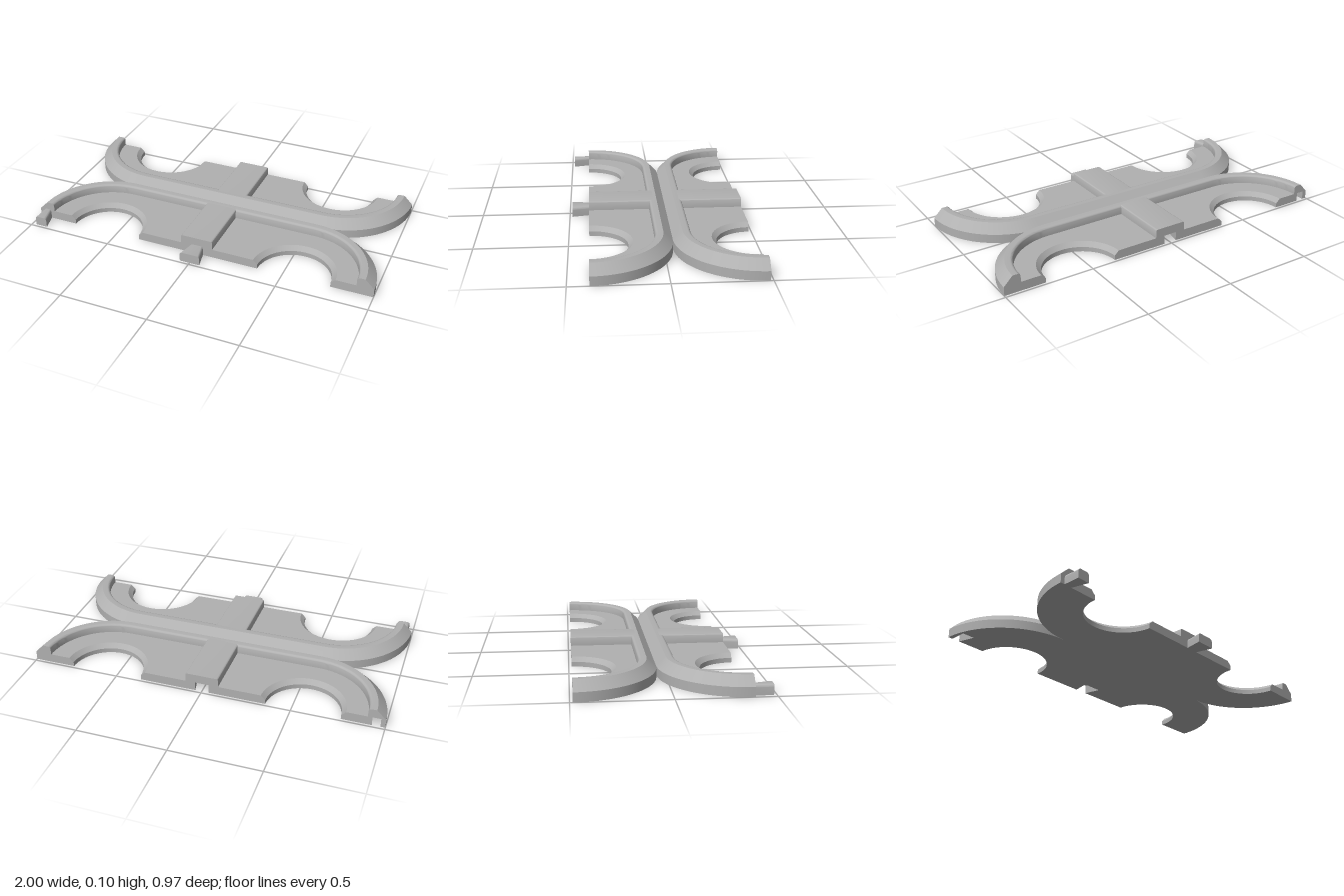
import * as THREE from 'three';
import { toCreasedNormals } from 'three/addons/utils/BufferGeometryUtils.js';

const R = 0.4375;      // depth of one half, also its corner radius
const CX = 1 - R;      // x of the corner and cutout centres
const FLOOR = 0.05, TOP = 0.1, DOVETAIL = 0.095;

const V2 = (x, y) => new THREE.Vector2(x, y);

// Points on an arc, from angle a to angle b
function arc(cx, cy, r, a, b, n) {
  return Array.from({ length: n + 1 }, (_, i) => {
    const t = a + (b - a) * i / n;
    return V2(cx + r * Math.cos(t), cy + r * Math.sin(t));
  });
}

// Solid through a row of contours; place(point, i) puts a contour point in space
function loft(contours, place) {
  const pos = [];
  const tri = (...pts) => pts.forEach(p => pos.push(p.x, p.y, p.z));
  const rings = contours.map((c, i) => c.map(p => place(p, i)));
  const n = contours[0].length, last = rings.length - 1;
  for (let i = 0; i < last; i++) {
    for (let j = 0; j < n; j++) {
      const k = (j + 1) % n, a = rings[i], b = rings[i + 1];
      tri(a[j], a[k], b[k]);
      tri(a[j], b[k], b[j]);
    }
  }
  const faces = c => THREE.ShapeUtils.triangulateShape(c.slice(), []);
  faces(contours[0]).forEach(([a, b, c]) => tri(rings[0][a], rings[0][c], rings[0][b]));
  faces(contours[last]).forEach(([a, b, c]) => tri(rings[last][a], rings[last][b], rings[last][c]));
  const g = new THREE.BufferGeometry();
  g.setAttribute('position', new THREE.Float32BufferAttribute(pos, 3));
  return toCreasedNormals(g, 0.5);
}

// Plate outline with two round cutouts and, if wanted, dovetail sockets
function plateOutline(r, sockets) {
  const pts = [
    ...arc(-CX, 0, r, Math.PI, 0, 32),
    ...(sockets ? [V2(-0.038, 0), V2(-0.058, DOVETAIL), V2(0.058, DOVETAIL), V2(0.038, 0)] : []),
    ...arc(CX, 0, r, Math.PI, 0, 32),
    ...(sockets ? [V2(0.93, 0), V2(0.905, DOVETAIL), V2(0.975, DOVETAIL), V2(0.975, 0)] : []),
    ...arc(CX, 0, R, 0, Math.PI / 2, 32),
    ...arc(-CX, 0, R, Math.PI / 2, Math.PI, 32),
  ];
  return pts;
}

function plateGeometry(sockets) {
  const levels = [[0, 0.205], [0.026, 0.205], [FLOOR, 0.23]];
  return loft(levels.map(([, r]) => plateOutline(r, sockets)),
    (p, i) => new THREE.Vector3(p.x, levels[i][0], -p.y));
}

// Raised rim: chamfered outside, rounded inside, swept round the outer edge
function rimGeometry() {
  const inner = R - 0.094, f = 0.016;
  const profile = [
    V2(inner, FLOOR), V2(R, FLOOR), V2(R - 0.05, TOP),
    ...arc(inner + f, TOP - f, f, Math.PI / 2, Math.PI, 5),
  ];
  const path = [];
  for (const side of [-1, 1]) {
    for (let i = 0; i <= 32; i++) {
      const t = Math.PI / 2 * (i / 32);
      path.push([side * CX, side < 0 ? Math.PI - t : Math.PI / 2 - t]);
    }
  }
  return loft(path.map(() => profile), (p, i) => {
    const [cx, t] = path[i];
    return new THREE.Vector3(cx + p.x * Math.cos(t), p.y, -p.x * Math.sin(t));
  });
}

// Bar along z with rounded upper edges; its x range may change from end to end
function roundedBar(z0, [a0, b0], z1, [a1, b1], y0, y1, f) {
  const section = (a, b) => [
    V2(a, y0), V2(b, y0),
    ...arc(b - f, y1 - f, f, 0, Math.PI / 2, 5),
    ...arc(a + f, y1 - f, f, Math.PI / 2, Math.PI, 5),
  ];
  return loft([section(a0, b0), section(a1, b1)],
    (p, i) => new THREE.Vector3(p.x, p.y, i ? z1 : z0));
}

export function createModel() {
  const grey = new THREE.MeshStandardMaterial({ color: 0xb0b0b0 });
  grey.name = 'grey';

  const model = new THREE.Group();
  model.name = 'trackPlate';

  const add = (parent, name, geometry) => {
    const mesh = new THREE.Mesh(geometry, grey);
    mesh.name = name;
    parent.add(mesh);
  };

  // Two halves set back to back
  const makeHalf = (name, sockets) => {
    const half = new THREE.Group();
    half.name = name;
    add(half, 'basePlate', plateGeometry(sockets));
    add(half, 'rim', rimGeometry());
    add(half, 'crossBar', roundedBar(-0.37, [-0.093, 0.093], 0, [-0.093, 0.093], FLOOR, TOP, 0.01));
    model.add(half);
    return half;
  };

  const front = makeHalf('frontHalf', false);
  front.position.z = 0.39;
  // Dovetail tabs on the front edge
  add(front, 'centreTab', roundedBar(0, [-0.038, 0.038], DOVETAIL, [-0.058, 0.058], 0, 0.055, 0.015));
  add(front, 'cornerTab', roundedBar(0, [-0.975, -0.93], DOVETAIL, [-0.975, -0.905], 0, 0.055, 0.015));

  const back = makeHalf('backHalf', true);
  back.rotation.y = Math.PI;
  back.position.z = -0.485;

  return model;
}
